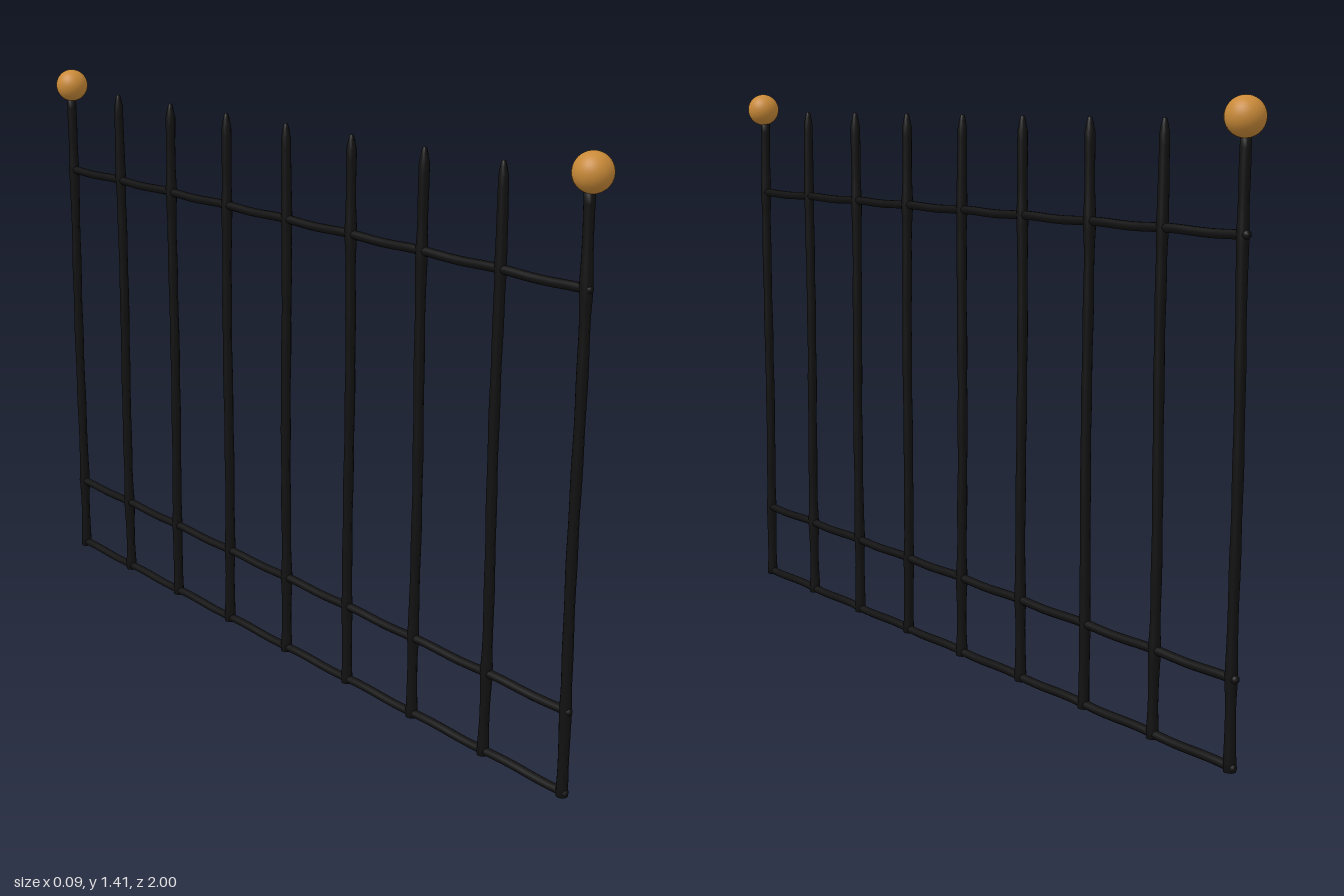
import * as THREE from 'three';

const iron = new THREE.MeshStandardMaterial({ color: 0x111111 });
const brass = new THREE.MeshStandardMaterial({ color: 0xc98a38 });

const BAR_COUNT = 9, SPACING = 0.239, HALF = 0.956, BAR_X = -0.004;
const RAIL_HEIGHTS = [0.018, 0.21, 1.135];

// Hand-forged bar: a lathe that swells slightly at each rail, gently bent
function makeBar(index, tipped) {
  const points = [new THREE.Vector2(0, 0.004)];
  const top = 1.33;
  const rows = 60;
  for (let i = 0; i <= rows; i++) {
    const y = 0.008 + (top - 0.008) * i / rows;
    let r = 0.0122 + 0.0005 * Math.sin(y * 31 + index * 2);
    for (const h of RAIL_HEIGHTS) r += 0.002 * Math.exp(-(((y - h) / 0.04) ** 2));
    points.push(new THREE.Vector2(r, y));
  }
  // blunt point on the free-standing bars
  if (tipped) points.push(new THREE.Vector2(0.008, 1.352), new THREE.Vector2(0.005, 1.364));
  points.push(new THREE.Vector2(0, tipped ? 1.366 : top));
  const geometry = new THREE.LatheGeometry(points, 12);
  const p = geometry.attributes.position;
  for (let i = 0; i < p.count; i++) {
    p.setZ(i, p.getZ(i) + 0.002 * Math.sin(p.getY(i) * 7 + index * 1.7));
  }
  geometry.computeVertexNormals();
  return new THREE.Mesh(geometry, iron);
}

// Horizontal rail with a slight waviness
function makeRail(height, index) {
  const points = [];
  for (let i = 0; i <= 40; i++) {
    const z = -HALF - 0.008 + (2 * HALF + 0.016) * i / 40;
    points.push(new THREE.Vector3(BAR_X, height + 0.0015 * Math.sin(z * 26 + index), z));
  }
  const curve = new THREE.CatmullRomCurve3(points);
  const rail = new THREE.Group();
  rail.add(new THREE.Mesh(new THREE.TubeGeometry(curve, 120, 0.0105, 10), iron));
  // rounded rail ends
  for (const end of [points[0], points[40]]) {
    const cap = new THREE.Mesh(new THREE.SphereGeometry(0.0105, 10, 8), iron);
    cap.position.copy(end);
    rail.add(cap);
  }
  return rail;
}

export function createModel() {
  const fence = new THREE.Group();
  fence.name = 'fencePanel';

  // Upright bars; the outermost two are the end posts
  for (let i = 0; i < BAR_COUNT; i++) {
    const isPost = i === 0 || i === BAR_COUNT - 1;
    const bar = makeBar(i, !isPost);
    bar.name = isPost ? 'endPost' : 'verticalBar';
    bar.position.set(BAR_X, 0, (i - (BAR_COUNT - 1) / 2) * SPACING);
    fence.add(bar);
  }

  // Bottom, lower and upper rails
  RAIL_HEIGHTS.forEach((height, i) => {
    const rail = makeRail(height, i);
    rail.name = ['bottomRail', 'lowerRail', 'upperRail'][i];
    fence.add(rail);
  });

  // Ball finials on the end posts
  for (const side of [1, -1]) {
    const ball = new THREE.Mesh(new THREE.SphereGeometry(0.043, 32, 20), brass);
    ball.name = side > 0 ? 'frontFinial' : 'backFinial';
    ball.position.set(0, 1.37, side * 0.957);
    fence.add(ball);
  }
  return fence;
}
